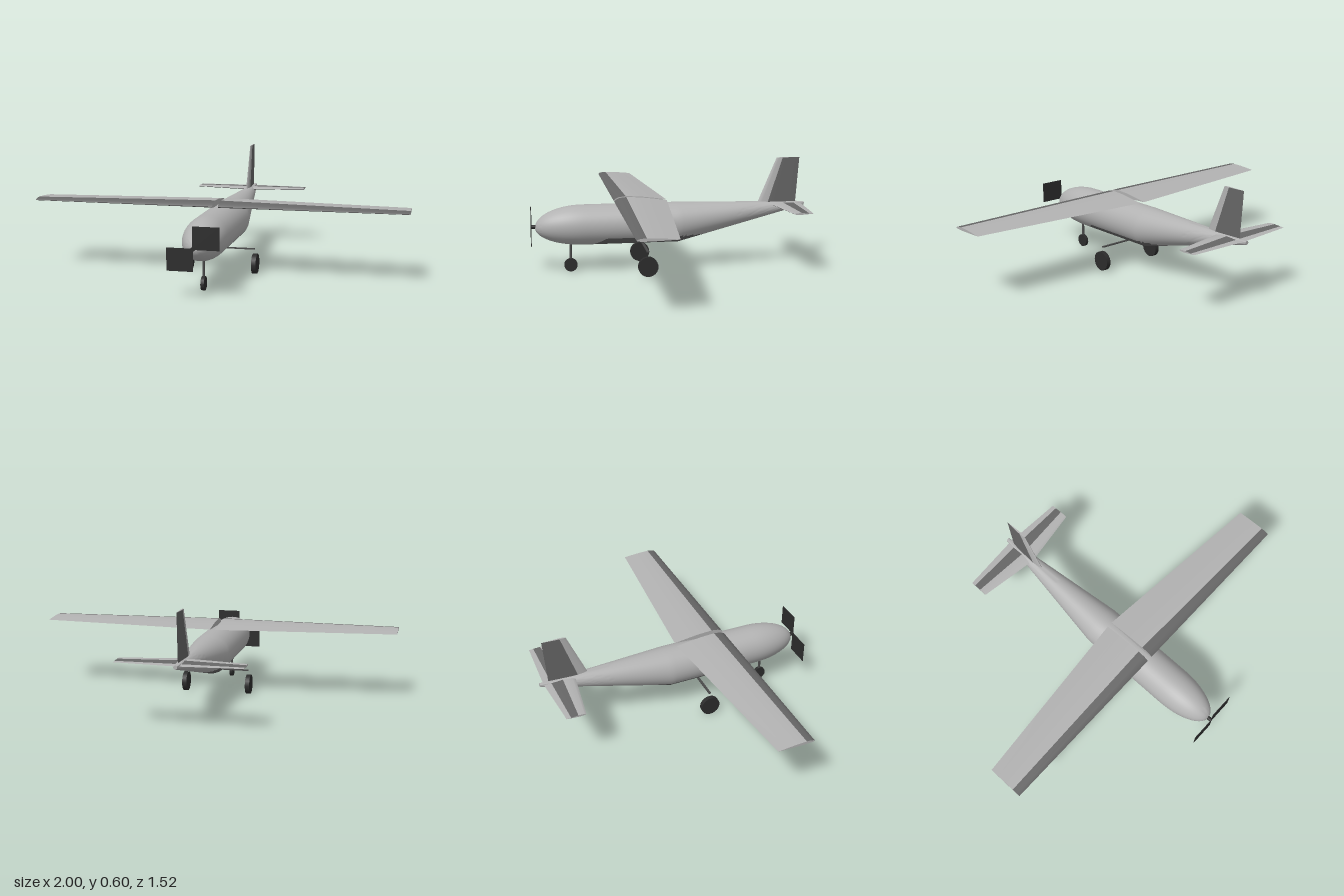
import * as THREE from 'three';
import { toCreasedNormals } from 'three/addons/utils/BufferGeometryUtils.js';

const mat = (name, color) => {
  const m = new THREE.MeshStandardMaterial({ color });
  m.name = name;
  return m;
};

// Closed loft through rings of Vector3; isDark(face centre, segment) picks the material group
function loft(rings, isDark) {
  const n = rings[0].length;
  const pts = rings.flat();
  const light = [], dark = [];
  const add = (a, b, c, j) => {
    const mid = pts[a].clone().add(pts[b]).add(pts[c]).divideScalar(3);
    (isDark(mid, j) ? dark : light).push(a, b, c);
  };
  for (let i = 0; i < rings.length - 1; i++) {
    for (let j = 0; j < n; j++) {
      const k = (j + 1) % n, a = i * n + j, b = i * n + k;
      add(a, b, b + n, j);
      add(a, b + n, a + n, j);
    }
  }
  // End caps
  [0, rings.length - 1].forEach((r) => {
    const centre = rings[r].reduce((s, p) => s.add(p), new THREE.Vector3()).divideScalar(n);
    const c = pts.push(centre) - 1;
    for (let j = 0; j < n; j++) {
      const a = r * n + j, b = r * n + (j + 1) % n;
      light.push(...(r ? [c, a, b] : [c, b, a]));
    }
  });
  // Turn the faces outward when the rings run the other way
  const index = [...light, ...dark];
  let volume = 0;
  for (let i = 0; i < index.length; i += 3) {
    volume += pts[index[i]].dot(pts[index[i + 1]].clone().cross(pts[index[i + 2]]));
  }
  if (volume < 0) {
    for (let i = 0; i < index.length; i += 3) [index[i], index[i + 1]] = [index[i + 1], index[i]];
  }
  const g = new THREE.BufferGeometry().setFromPoints(pts);
  g.setIndex(index);
  g.addGroup(0, light.length, 0);
  if (dark.length) g.addGroup(light.length, dark.length, 1);
  return toCreasedNormals(g, 1);
}

// Aerofoil outlines: [fraction of chord from the leading edge, relative thickness]
const CAMBERED = [[1, 0], [0.75, 0.32], [0.5, 0.58], [0.23, 0.7], [0.1, 0.56], [0.03, 0.3],
  [0, 0], [0.03, -0.15], [0.1, -0.25], [0.3, -0.3], [0.65, -0.17]];
const SYMMETRIC = [[1, 0], [0.77, 0.2], [0.4, 0.46], [0.26, 0.5], [0.1, 0.38], [0.03, 0.22],
  [0, 0], [0.03, -0.22], [0.1, -0.38], [0.26, -0.5], [0.4, -0.46], [0.77, -0.2]];

export function createModel() {
  const model = new THREE.Group();
  model.name = 'airplane';
  const lightGrey = mat('light grey paint', 0xb2b2b2);
  const darkGrey = mat('dark grey paint', 0x666666);
  const black = mat('black rubber', 0x2c2c2c);
  const strutGrey = mat('strut grey', 0x4a4a4a);
  const paint = [lightGrey, darkGrey];

  const put = (name, geometry, material, x = 0, y = 0, z = 0) => {
    const m = new THREE.Mesh(geometry, material);
    m.name = name;
    m.position.set(x, y, z);
    model.add(m);
    return m;
  };

  // Fuselage: elliptical nose, straight cabin, upswept tail cone
  const stations = [];
  for (let i = 0; i <= 14; i++) {
    const a = (i / 14) * Math.PI / 2;
    const r = 0.11 * Math.sin(a);
    stations.push([0.48 + 0.26 * Math.cos(a), 0.25 + 0.01 * Math.sin(a), r]);
  }
  for (let z = 0.46; z > -0.03; z -= 0.02) stations.push([z, 0.26, 0.11]);
  for (let i = 0; i <= 36; i++) {
    const t = i / 36;
    stations.push([-0.04 - 0.72 * t, 0.26 + 0.085 * t, 0.11 - 0.1 * t]);
  }
  const hull = stations.map(([z, y, r]) => Array.from({ length: 40 }, (_, j) => {
    const a = (j / 40) * Math.PI * 2;
    return new THREE.Vector3(r * Math.sin(a), y - r * Math.cos(a), z);
  }));
  const belly = (p) => p.y < 0.195 && p.z < 0.43 - (p.y - 0.15) * 1.5;
  put('fuselage', loft(hull, belly), paint);

  for (const s of [1, -1]) {
    const side = s > 0 ? 'left' : 'right';

    // Wing half: [x, leading z, chord, y, thickness]
    const wing = [[0.015, 0.31, 0.29, 0.384, 0.034], [1, 0.31, 0.2, 0.384, 0.016]];
    put(side + 'Wing', loft(
      wing.map(([x, z, c, y, t]) => CAMBERED.map(([u, v]) => new THREE.Vector3(s * x, y + v * t, z - u * c))),
      (p, j) => j >= 3), paint);

    // Tailplane half with a dark centre band on top
    const tailplane = [[0, -0.565, 0.175, 0.346, 0.016], [0.325, -0.615, 0.105, 0.346, 0.01]];
    put(side + 'Tailplane', loft(
      tailplane.map(([x, z, c, y, t]) => SYMMETRIC.map(([u, v]) => new THREE.Vector3(s * x, y + v * t, z - u * c))),
      (p, j) => (p.z < -0.635 && p.z > -0.7 && j === 1) || j >= 6), paint);

    // Main wheel
    const wheel = put(side + 'MainWheel', new THREE.CylinderGeometry(0.054, 0.054, 0.025, 24), black,
      s * 0.182, 0.055, 0.147);
    wheel.rotation.z = Math.PI / 2;
  }

  // Fin: [y, leading z, chord, thickness]
  const fin = [[0.335, -0.485, 0.225, 0.022], [0.605, -0.6, 0.13, 0.01]];
  put('fin', loft(
    fin.map(([y, z, c, t]) => SYMMETRIC.map(([u, v]) => new THREE.Vector3(v * t, y, z - u * c))),
    (p, j) => j < 3 || j > 8), paint);

  // Landing gear
  put('mainAxle', new THREE.BoxGeometry(0.36, 0.006, 0.013), strutGrey, 0, 0.135, 0.147);
  put('noseStrut', new THREE.CylinderGeometry(0.007, 0.007, 0.12, 12), strutGrey, 0, 0.105, 0.55);
  put('noseWheel', new THREE.CylinderGeometry(0.036, 0.036, 0.018, 20), black, 0, 0.037, 0.55)
    .rotation.z = Math.PI / 2;

  // Propeller: hub and two flat square blades
  put('propellerHub', new THREE.CylinderGeometry(0.011, 0.011, 0.035, 12), black, 0, 0.255, 0.745)
    .rotation.x = Math.PI / 2;
  for (const s of [1, -1]) {
    put(s > 0 ? 'upperBlade' : 'lowerBlade', new THREE.BoxGeometry(0.133, 0.114, 0.003), black,
      s * 0.0645, 0.256 + s * 0.054, 0.761);
  }
  return model;
}
